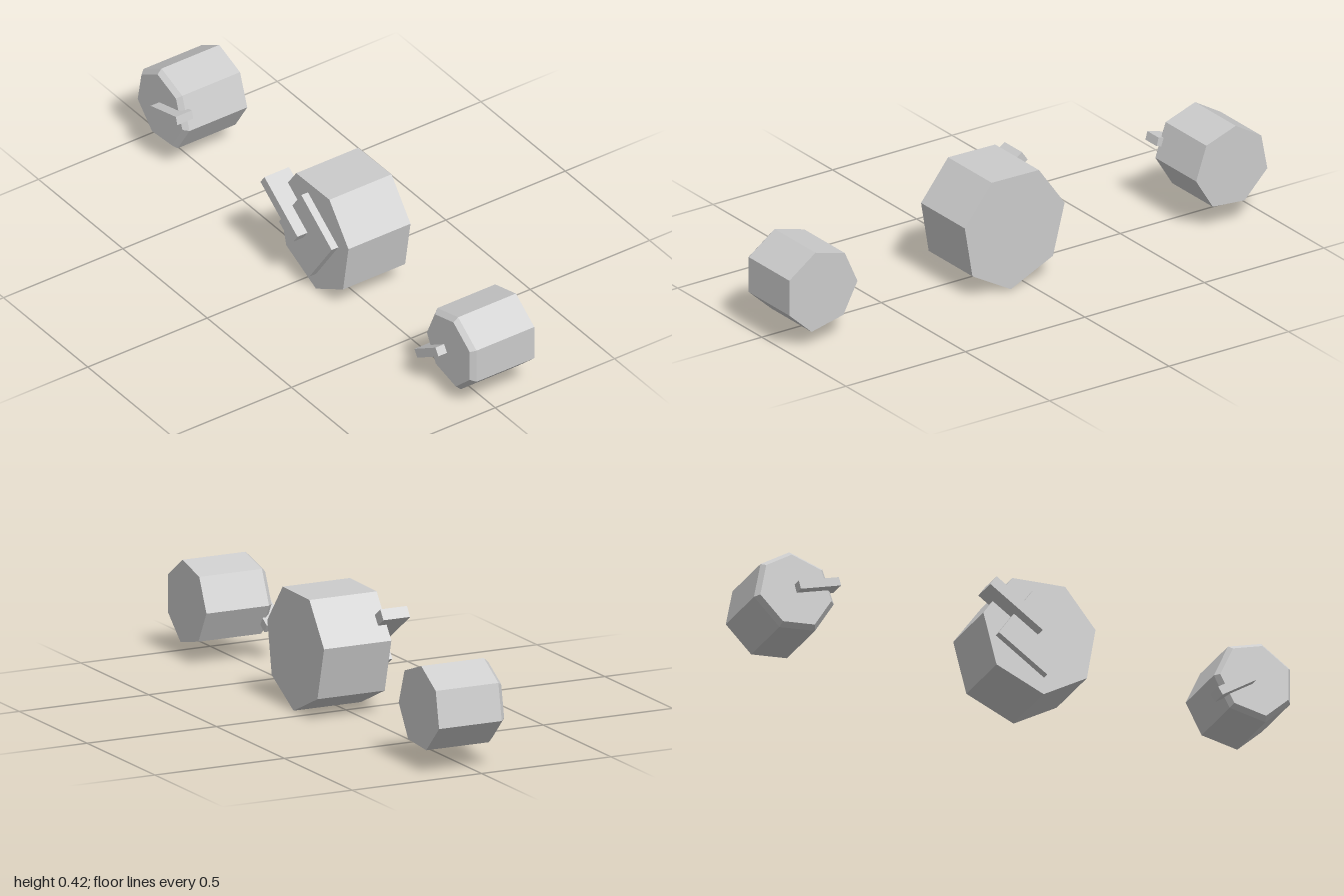
import * as THREE from 'three';

const material = new THREE.MeshStandardMaterial({ color: 0xcccccc, flatShading: true });

// Prism along x. outline: [z, y] corners, clockwise seen from +x; rings: [x, scale], from -x to +x
function prism(name, outline, rings) {
  const n = outline.length;
  const cz = outline.reduce((s, p) => s + p[0], 0) / n;
  const cy = outline.reduce((s, p) => s + p[1], 0) / n;
  const loops = rings.map(([x, s]) =>
    outline.map(([z, y]) => [x, cy + (y - cy) * s, cz + (z - cz) * s]));
  const pos = [];
  const tri = (a, b, c) => pos.push(...a, ...b, ...c);
  for (let r = 0; r < loops.length - 1; r++) {
    const a = loops[r], b = loops[r + 1];
    for (let i = 0; i < n; i++) {
      const j = (i + 1) % n;
      tri(a[i], b[i], b[j]);
      tri(a[i], b[j], a[j]);
    }
  }
  const first = loops[0], last = loops[loops.length - 1];
  for (let i = 1; i < n - 1; i++) {
    tri(first[0], first[i], first[i + 1]);
    tri(last[0], last[i + 1], last[i]);
  }
  const geometry = new THREE.BufferGeometry();
  geometry.setAttribute('position', new THREE.Float32BufferAttribute(pos, 3));
  geometry.computeVertexNormals();
  const mesh = new THREE.Mesh(geometry, material);
  mesh.name = name;
  return mesh;
}

// Box from x0 to x1, its long side pointing along (dz, dy)
function bar(name, x0, x1, [z, y], length, width, [dz, dy]) {
  const mesh = new THREE.Mesh(new THREE.BoxGeometry(x1 - x0, width, length), material);
  mesh.position.set((x0 + x1) / 2, y, z);
  mesh.rotation.x = -Math.atan2(dy, dz);
  mesh.name = name;
  return mesh;
}

export function createModel() {
  const group = new THREE.Group();
  const plain = [[-0.096, 1], [0.164, 1]];
  const chamfered = [[-0.096, 0.89], [-0.078, 1], [0.164, 1]];

  // Large seven-sided middle block with a square plate and a crossing lever
  group.add(prism('middleBlock', [
    [0.153, 0.42], [-0.044, 0.417], [-0.152, 0.267], [-0.103, 0.08],
    [0.073, 0.0], [0.234, 0.09], [0.266, 0.278],
  ], plain));
  group.add(bar('middlePlate', -0.124, -0.06, [0.05, 0.22], 0.22, 0.23, [0.82, -0.575]));
  group.add(bar('middleLever', -0.166, -0.063, [-0.047, 0.292], 0.239, 0.041, [0.82, -0.575]));

  // Small front block and lever
  group.add(prism('frontBlock', [
    [0.891, 0.349], [0.768, 0.316], [0.715, 0.198], [0.774, 0.086],
    [0.907, 0.056], [1.0, 0.141], [1.0, 0.272],
  ], chamfered));
  group.add(bar('frontLever', -0.132, -0.065, [0.779, 0.157], 0.148, 0.032, [0.846, 0.53]));

  // Small back block and lever
  group.add(prism('backBlock', [
    [-0.868, 0.369], [-0.975, 0.305], [-1.0, 0.176], [-0.905, 0.08],
    [-0.772, 0.09], [-0.702, 0.203], [-0.745, 0.326],
  ], chamfered));
  group.add(bar('backLever', -0.132, -0.065, [-0.777, 0.247], 0.155, 0.031, [0.966, 0.26]));

  return group;
}
